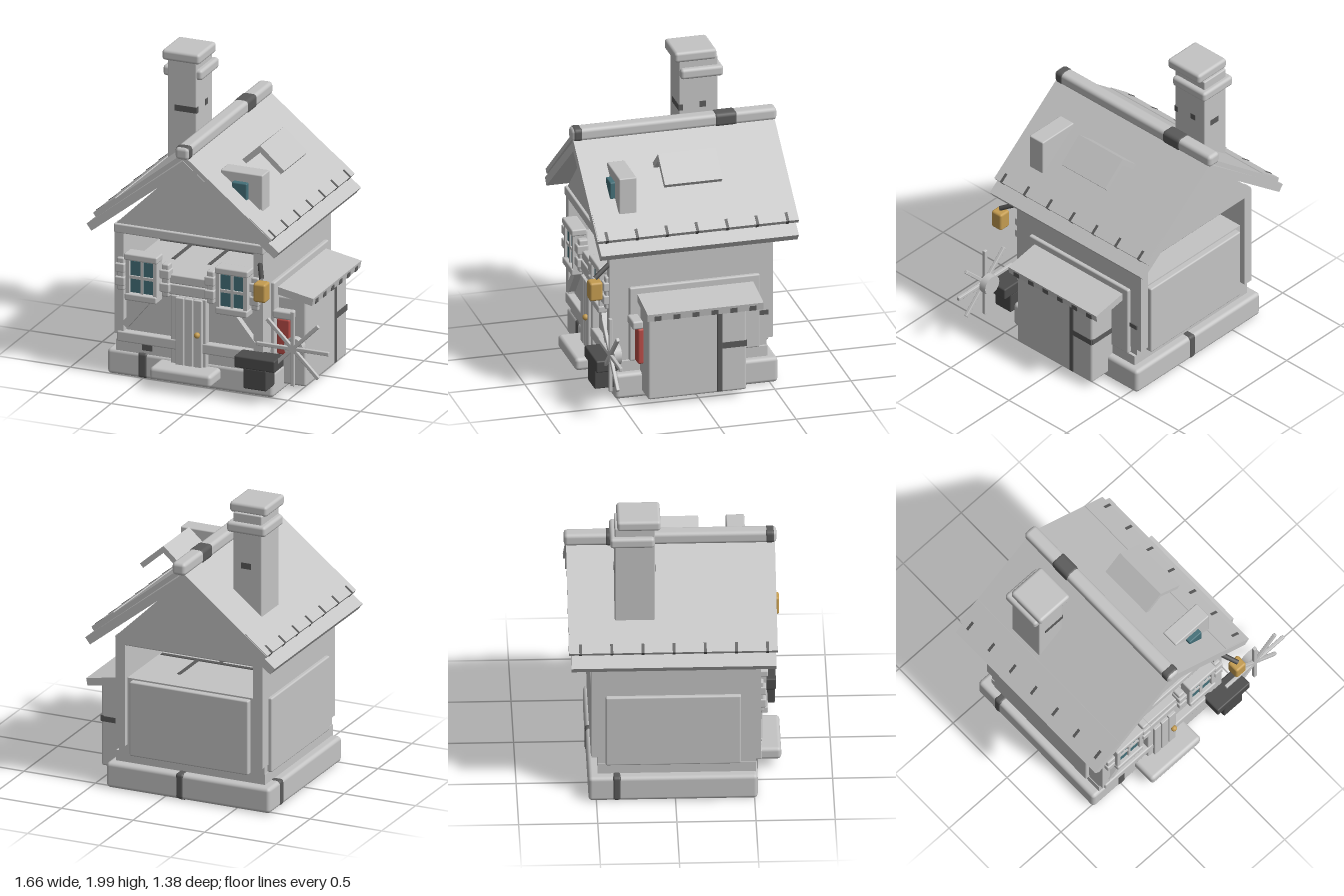
import * as THREE from 'three';
import { RoundedBoxGeometry } from 'three/addons/geometries/RoundedBoxGeometry.js';

const CX = -0.167; // the house's own centre line

export function createModel() {
  const model = new THREE.Group();
  model.name = 'cottage';
  const paint = (name, color) => {
    const m = new THREE.MeshStandardMaterial({ color });
    m.name = name;
    return m;
  };
  const stone = paint('lightStone', 0xc4c4c4);
  const dark = paint('darkSeam', 0x5a5a5a);
  const iron = paint('iron', 0x4c4c4c);
  const glass = paint('glass', 0x447079);
  const gold = paint('gold', 0xc49c50);
  const red = paint('red', 0xb84c46);

  const add = (name, geometry, mat) => {
    const mesh = new THREE.Mesh(geometry, mat);
    mesh.name = name;
    model.add(mesh);
    return mesh;
  };
  // Box between limits; r rounds its edges
  const box = (name, mat, x0, x1, y0, y1, z0, z1, r = 0) => {
    const s = [x1 - x0, y1 - y0, z1 - z0];
    const g = r ? new RoundedBoxGeometry(...s, 2, r) : new THREE.BoxGeometry(...s);
    const mesh = add(name, g, mat);
    mesh.position.set((x0 + x1) / 2, (y0 + y1) / 2, (z0 + z1) / 2);
    return mesh;
  };
  // Outline in x, y pulled along z
  const prism = (name, mat, points, z0, z1) => {
    const shape = new THREE.Shape(points.map(([x, y]) => new THREE.Vector2(x, y)));
    const mesh = add(name, new THREE.ExtrudeGeometry(shape, { depth: z1 - z0, bevelEnabled: false }), mat);
    mesh.position.z = z0;
    return mesh;
  };
  // Flat board whose top edge runs from a to b
  const slab = (name, mat, a, b, t, z0, z1) => {
    const dx = b[0] - a[0], dy = b[1] - a[1], s = Math.sign(dx) * t / Math.hypot(dx, dy);
    const nx = dy * s, ny = -dx * s;
    return prism(name, mat, [a, b, [b[0] + nx, b[1] + ny], [a[0] + nx, a[1] + ny]], z0, z1);
  };
  const flip = (x, side) => CX + side * (x - CX);
  // Box mirrored about the house centre when side is -1
  const sided = (side, name, mat, x0, x1, ...rest) => {
    const a = flip(x0, side), b = flip(x1, side);
    return box(name, mat, Math.min(a, b), Math.max(a, b), ...rest);
  };

  // Foundation with dark blocks
  box('foundation', stone, -0.74, 0.405, 0.01, 0.18, -0.55, 0.52, 0.025);
  box('foundationSeamFront', dark, -0.53, -0.46, 0.013, 0.184, 0.35, 0.524, 0.02);
  box('foundationSeamBack', dark, -0.14, -0.08, 0.013, 0.184, -0.554, -0.4, 0.02);
  box('foundationSeamLeft', dark, 0.3, 0.409, 0.013, 0.184, -0.28, -0.225, 0.02);
  box('foundationSeamRight', dark, -0.744, -0.65, 0.013, 0.184, -0.4, -0.34, 0.02);
  box('foundationSeamUnder', dark, -0.72, 0.385, 0.006, 0.012, -0.28, -0.24);
  box('foundationSeamUnderCross', dark, -0.14, -0.1, 0.006, 0.012, -0.53, -0.25);

  // House body, open above between the side walls
  box('plinth', stone, -0.68, 0.36, 0.17, 0.25, -0.49, 0.51);
  box('plinthSeam', dark, -0.5, -0.43, 0.2, 0.24, 0.508, 0.514);
  box('body', stone, -0.64, 0.31, 0.2, 0.75, -0.49, 0.5);
  box('backPanel', stone, -0.58, 0.25, 0.24, 0.74, -0.53, -0.48, 0.01);
  box('bodyTopSeam', dark, -0.6, 0.27, 0.749, 0.754, -0.03, 0);
  for (const [x, z] of [[-0.4, 0.0], [0, -0.3], [-0.15, 0.0]])
    box('bodyTopJoint', dark, x, x + 0.025, 0.749, 0.754, z, z + 0.28);
  for (const side of [1, -1]) {
    sided(side, 'sideWall', stone, -0.68, -0.615, 0.3, 1.02, -0.53, 0.54);
    sided(side, 'lowerWall', stone, -0.675, -0.6, 0.2, 0.32, -0.49, 0.51);
    sided(side, 'sidePanel', stone, -0.705, -0.66, 0.25, 0.75, -0.44, 0.415, 0.01);
  }
  box('sideWallSeam', dark, 0.346, 0.353, 0.46, 0.49, -0.5, -0.44);

  // Front timber frame
  box('sillBeam', stone, -0.66, 0.33, 0.25, 0.32, 0.48, 0.55, 0.01);
  box('middleBeam', stone, -0.31, -0.03, 0.62, 0.69, 0.48, 0.55, 0.008);
  box('middleBeam', stone, -0.31, -0.03, 0.69, 0.75, 0.48, 0.54, 0.008);
  for (const z of [[0.47, 0.55], [-0.53, -0.47]]) {
    box('topBeam', stone, -0.68, 0.35, 0.98, 1.04, z[0], z[1], 0.008);
    prism('gable', stone, [[-0.68, 1.03], [0.35, 1.03], [CX, 1.53]], z[0], z[1] - 0.02);
  }

  // Windows, shutters and braces
  for (const side of [1, -1]) {
    sided(side, 'windowFrame', stone, -0.585, -0.375, 0.57, 0.85, 0.48, 0.555, 0.01);
    sided(side, 'windowGlass', glass, -0.56, -0.395, 0.6, 0.81, 0.555, 0.561);
    sided(side, 'windowLintel', stone, -0.595, -0.365, 0.82, 0.865, 0.49, 0.59, 0.01);
    sided(side, 'windowSill', stone, -0.59, -0.37, 0.55, 0.597, 0.49, 0.59, 0.01);
    for (const x of [-0.585, -0.395])
      sided(side, 'windowJamb', stone, x, x + 0.025, 0.59, 0.83, 0.5, 0.58);
    sided(side, 'mullion', stone, -0.486, -0.468, 0.59, 0.82, 0.55, 0.572);
    sided(side, 'crossbar', stone, -0.56, -0.395, 0.695, 0.715, 0.55, 0.572);
    for (const x of [-0.655, -0.347]) {
      sided(side, 'shutter', stone, x, x + 0.05, 0.6, 0.82, 0.5, 0.56, 0.01);
      for (const y of [0.635, 0.725])
        sided(side, 'shutterBand', stone, x - 0.008, x + 0.058, y, y + 0.06, 0.5, 0.575, 0.008);
    }
    const brace = box('brace', stone, -0.025, 0.025, -0.14, 0.14, 0.5, 0.545);
    brace.position.set(flip(-0.52, side), 0.47, 0.525);
    brace.rotation.z = -side * 0.685;
  }

  // Door, knob and step
  box('doorFrame', stone, -0.29, -0.045, 0.15, 0.615, 0.49, 0.545, 0.008);
  for (let i = 0; i < 3; i++)
    box('doorPlank', stone, -0.25 + i * 0.062, -0.192 + i * 0.062, 0.15, 0.61, 0.52, 0.565, 0.006);
  add('doorKnob', new THREE.SphereGeometry(0.02, 12, 8), gold).position.set(-0.095, 0.38, 0.575);
  box('doorStep', stone, -0.38, 0.045, 0.075, 0.16, 0.49, 0.68, 0.025);

  // Main roof in overlapping layers
  for (const side of [1, -1]) {
    const p = (x, y) => [flip(x, side), y];
    slab('roofBase', stone, p(CX, 1.565), p(-0.83, 1.045), 0.055, -0.66, 0.635);
    slab('roofCover', stone, p(CX, 1.615), p(-0.778, 1.125), 0.03, -0.675, 0.645);
    slab('roofEdgeStrip', stone, p(-0.63, 1.251), p(-0.782, 1.128), 0.03, -0.67, 0.64);
    for (let i = 0; i < 7; i++) {
      const z = -0.61 + i * 0.197;
      slab('roofSeam', dark, p(-0.735, 1.169), p(-0.786, 1.128), 0.035, z, z + 0.018);
    }
  }
  box('ridge', stone, -0.215, -0.12, 1.575, 1.66, -0.69, 0.655, 0.025);
  box('ridgeSeam', dark, -0.218, -0.117, 1.572, 1.663, -0.435, -0.275, 0.025);
  box('ridgeEnd', dark, -0.217, -0.118, 1.574, 1.662, 0.575, 0.65, 0.025);

  // Chimney
  box('chimneyShaft', stone, -0.605, -0.405, 1.15, 1.94, -0.38, -0.125, 0.008);
  box('chimneyRing', stone, -0.64, -0.37, 1.81, 1.88, -0.41, -0.13, 0.02);
  box('chimneyCap', stone, -0.63, -0.37, 1.93, 2, -0.365, -0.09, 0.02);
  box('chimneySeamFront', dark, -0.555, -0.402, 1.59, 1.63, -0.15, -0.122);
  box('chimneySeamBack', dark, -0.53, -0.46, 1.57, 1.61, -0.383, -0.375);
  box('chimneySeamSide', dark, -0.41, -0.402, 1.6, 1.64, -0.3, -0.26);

  // Dormer and its little roof
  box('dormer', stone, 0.02, 0.31, 1.2, 1.48, 0.35, 0.467, 0.008);
  box('dormerWindow', glass, 0.11, 0.215, 1.305, 1.42, 0.46, 0.5, 0.008);
  slab('dormerRoof', stone, [0.165, 1.56], [0.03, 1.44], 0.035, -0.205, 0.172);
  slab('dormerRoof', stone, [0.165, 1.56], [0.33, 1.415], 0.035, -0.205, 0.172);

  // Side shed
  box('shed', stone, 0.33, 0.555, 0.05, 0.64, -0.3, 0.345, 0.015);
  box('shedSeam', dark, 0.36, 0.559, 0.055, 0.61, -0.145, -0.105, 0.01);
  box('shedSeamSide', dark, 0.54, 0.559, 0.35, 0.39, -0.3, -0.14);
  box('shedSeamBack', dark, 0.36, 0.55, 0.35, 0.385, -0.304, -0.29);
  slab('shedRoof', stone, [0.32, 0.715], [0.615, 0.66], 0.05, -0.395, 0.365);
  for (let i = 0; i < 6; i++) {
    const z = -0.35 + i * 0.125;
    box('shedRoofSeam', dark, 0.58, 0.612, 0.612, 0.65, z, z + 0.045);
  }
  box('shedDoor', red, 0.37, 0.46, 0.26, 0.5, 0.345, 0.385, 0.012);
  box('shedShelf', stone, 0.36, 0.495, 0.515, 0.57, 0.36, 0.43, 0.012);

  // Spoked wheel
  const hub = add('wheelHub', new THREE.CylinderGeometry(0.066, 0.066, 0.05, 16), stone);
  hub.rotation.x = Math.PI / 2;
  hub.position.set(0.575, 0.4, 0.565);
  for (let i = 0; i < 4; i++) {
    const spoke = box('wheelSpoke', stone, -0.25, 0.25, -0.013, 0.013, -0.011, 0.011, 0.005);
    spoke.position.set(0.577, 0.4, 0.6);
    spoke.rotation.z = i * Math.PI / 4;
  }

  // Hanging lantern
  const from = new THREE.Vector3(0.325, 0.91, 0.54), to = new THREE.Vector3(0.385, 0.85, 0.65);
  add('lanternArm', new THREE.TubeGeometry(new THREE.LineCurve3(from, to), 1, 0.016, 8), iron);
  box('lantern', gold, 0.34, 0.425, 0.71, 0.835, 0.605, 0.69, 0.015);

  // Anvil
  box('anvilTop', iron, 0.2, 0.48, 0.24, 0.32, 0.52, 0.665, 0.01);
  box('anvilFoot', iron, 0.26, 0.42, 0.105, 0.245, 0.525, 0.66, 0.01);

  return model;
}
